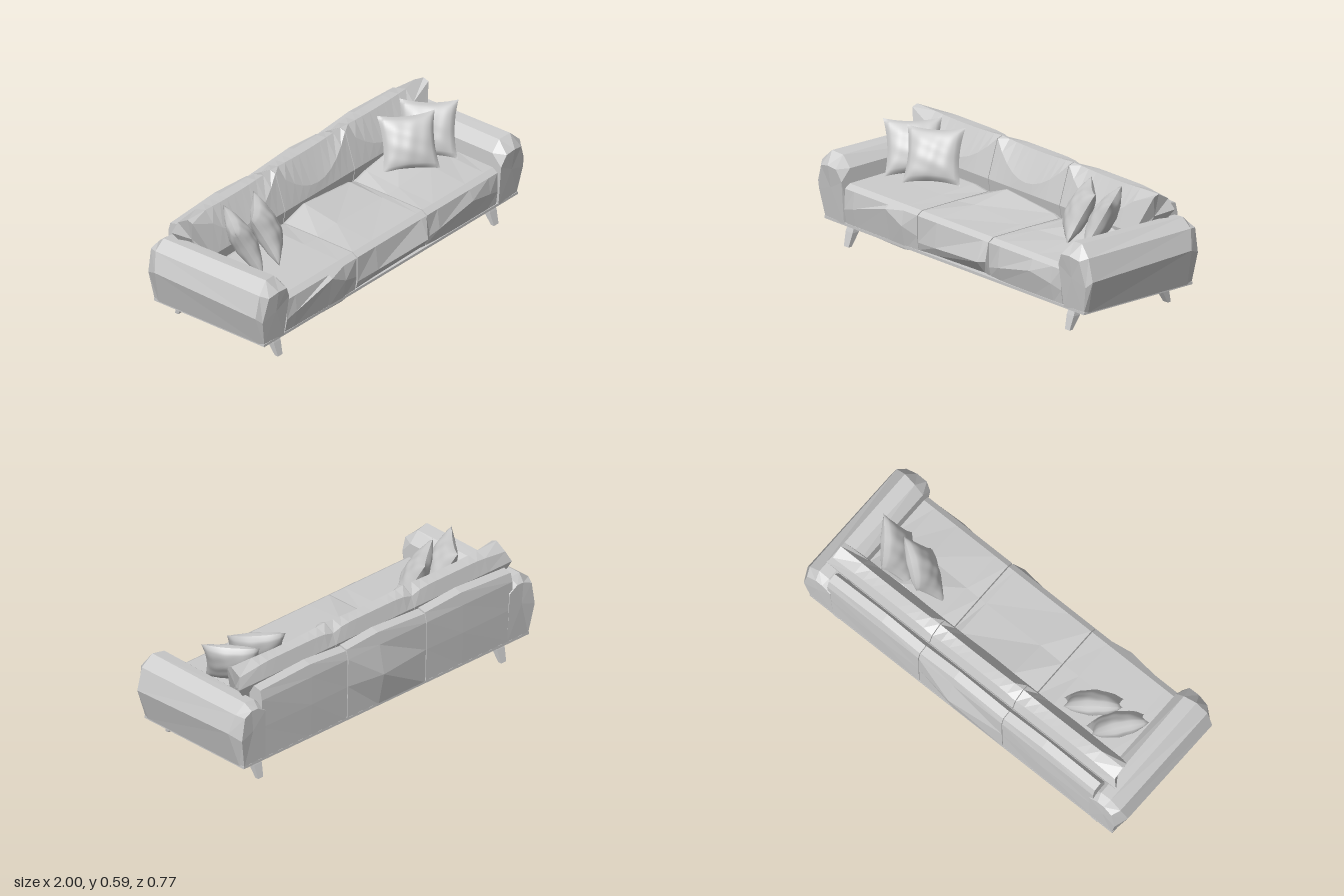
import * as THREE from 'three';
import { mergeGeometries } from 'three/addons/utils/BufferGeometryUtils.js';

const faceted = new THREE.MeshStandardMaterial({ color: 0xcccccc, flatShading: true });
const smooth = new THREE.MeshStandardMaterial({ color: 0xcccccc });

// Closed solid through rings of [x, y, z] points, capped at both ends
function loft(rings) {
  const n = rings[0].length;
  const points = rings.flat().map(p => new THREE.Vector3(...p));
  const tris = [];
  for (let r = 0; r < rings.length - 1; r++) {
    for (let i = 0; i < n; i++) {
      const a = r * n + i, b = r * n + (i + 1) % n;
      tris.push([a, b, b + n], [a, b + n, a + n]);
    }
  }
  const last = (rings.length - 1) * n;
  [0, last].forEach(start => {
    const c = new THREE.Vector3();
    for (let i = 0; i < n; i++) c.addScaledVector(points[start + i], 1 / n);
    const k = points.push(c) - 1;
    for (let i = 0; i < n; i++) {
      const a = start + i, b = start + (i + 1) % n;
      tris.push(start === 0 ? [k, b, a] : [k, a, b]);
    }
  });
  // Turn the faces outward whichever way the rings run
  let volume = 0;
  const cross = new THREE.Vector3();
  for (const [a, b, c] of tris) volume += points[a].dot(cross.crossVectors(points[b], points[c]));
  const index = tris.flatMap(([a, b, c]) => (volume < 0 ? [a, c, b] : [a, b, c]));
  const g = new THREE.BufferGeometry().setFromPoints(points);
  g.setIndex(index);
  const flat = g.toNonIndexed();
  flat.computeVertexNormals();
  return flat;
}

function add(parent, name, geometry, material = faceted) {
  const mesh = new THREE.Mesh(geometry, material);
  mesh.name = name;
  parent.add(mesh);
  return mesh;
}

// Faceted, outward-leaning armrest
function arm(side) {
  const rings = [
    [[.94, .12, .335], [.97, .26, .35], [.94, .39, .365], [.88, .405, .375], [.82, .40, .375], [.79, .34, .365], [.80, .12, .34]],
    [[.945, .12, .31], [1, .29, .33], [.97, .405, .33], [.91, .463, .32], [.84, .455, .31], [.79, .40, .31], [.79, .12, .31]],
    [[.945, .12, -.32], [1, .31, -.30], [.97, .41, -.32], [.91, .455, -.32], [.85, .45, -.32], [.79, .40, -.32], [.79, .12, -.32]],
    [[.94, .12, -.35], [.97, .28, -.365], [.95, .40, -.365], [.90, .42, -.36], [.86, .42, -.36], [.81, .39, -.36], [.80, .12, -.35]],
  ];
  return loft(rings.map(r => r.map(([x, y, z]) => [x * side, y, z])));
}

// Upright back panel with a pyramid-like bulge at its middle
function backPanel(x0, x1, bulge, xm) {
  const section = (x, b, h) => [[-.35, .12], [-.355 - b, .30], [-.357, .45], [-.345, h - .01],
    [-.30, h], [-.27, .46], [-.27, .12]].map(([z, y]) => [x, y, z]);
  return loft([section(x0, 0, .505), section(xm, bulge, .525), section(x1, 0, .51)]);
}

// Seat cushion; each row is x, front bulge z, bulge height, bottom height, rear height
function seatCushion(rows) {
  return loft(rows.map(([x, fz, fy, by, ty]) => [[-.2, .125], [.335, by], [fz, fy], [.345, .305],
    [.315, .325], [.1, .328 + (ty - .33) * .3], [-.1, ty], [-.2, ty - .03]].map(([z, y]) => [x, y, z])));
}

// Back cushion with a sagging front seam; its outer end spills over the arm
function backCushion(x0, x1) {
  const rings = [];
  for (let i = 0; i <= 10; i++) {
    const u = i / 5 - 1, x = x0 + (x1 - x0) * i / 10, s = u * u, e = s * s * s;
    rings.push([[-.12, .31], [-.105, .39], [-.115 - .05 * s, .435 + .145 * s], [-.195, .58 + .01 * s],
      [-.255, .575 - .02 * e], [-.275, .50], [-.24, .36]].map(([z, y]) => {
      const outer = Math.abs(x) > .78;
      return [outer && y > .43 ? Math.sign(x) * (y < .52 ? .905 : .88) : x, y, z];
    }));
  }
  return loft(rings);
}

// Square throw pillow with pinched corners and soft folds
function pillowGeometry() {
  const h = .142, half = side => {
    const g = new THREE.PlaneGeometry(2, 2, 22, 22);
    const p = g.attributes.position;
    for (let i = 0; i < p.count; i++) {
      const u = p.getX(i), v = p.getY(i);
      const body = Math.sqrt(Math.max(0, (1 - u * u) * (1 - v * v)));
      const fold = 1 + .06 * Math.sin(7 * u + 4 * v) * Math.sin(6 * v - 3 * u);
      p.setXYZ(i, u * h * (.88 + .12 * v * v), v * h * (.88 + .12 * u * u), side * .058 * body * fold);
    }
    if (side < 0) g.setIndex(Array.from(g.index.array).reverse());
    g.computeVertexNormals();
    return g;
  };
  return mergeGeometries([half(1), half(-1)]);
}

// Tapered leg splayed toward the given end
function leg(x, end) {
  const ring = (y, zIn, zOut, w) => [[x - w, y, end * zIn], [x + w, y, end * zIn],
    [x + w, y, end * zOut], [x - w, y, end * zOut]];
  return loft([ring(0, .302, .322, .017), ring(.07, .262, .303, .025), ring(.1, .255, .292, .023)]);
}

export function createModel() {
  const sofa = new THREE.Group();
  sofa.name = 'sofa';

  // Base and hidden frame
  add(sofa, 'basePlate', new THREE.BoxGeometry(1.89, .014, .69)).position.set(0, .121, -.006);
  add(sofa, 'seatFrame', new THREE.BoxGeometry(1.58, .17, .58)).position.set(0, .21, 0);

  // Arms
  add(sofa, 'leftArm', arm(1));
  add(sofa, 'rightArm', arm(-1));

  // Back panels and back cushions
  [[-.83, -.262, .004, -.5], [-.258, .258, .033, .05], [.262, .83, .004, .5]].forEach(([a, b, d, m]) =>
    add(sofa, 'backPanel', backPanel(a, b, d, m)));
  [[-.8, -.262], [-.258, .258], [.262, .8]].forEach(([a, b]) =>
    add(sofa, 'backCushion', backCushion(a, b)));

  // Seat cushions
  add(sofa, 'rightSeatCushion', seatCushion([[-.787, .35, .2, .125, .33], [-.72, .355, .22, .118, .335],
    [-.47, .367, .29, .108, .34], [-.36, .36, .23, .105, .34], [-.263, .345, .2, .125, .325]]));
  add(sofa, 'middleSeatCushion', seatCushion([[-.257, .345, .17, .13, .325], [-.12, .358, .18, .135, .375],
    [.22, .386, .205, .14, .34], [.257, .365, .21, .135, .325]]));
  add(sofa, 'leftSeatCushion', seatCushion([[.263, .345, .18, .135, .325], [.34, .358, .2, .13, .35],
    [.58, .366, .25, .125, .395], [.72, .355, .22, .125, .36], [.787, .345, .2, .125, .33]]));

  // Throw pillows, a pair at each end
  const pillow = pillowGeometry();
  for (const side of [1, -1]) {
    [[.53, .005, 38], [.69, -.005, 52]].forEach(([x, z, yaw]) => {
      const mesh = add(sofa, 'throwPillow', pillow, smooth);
      mesh.position.set(side * x, .463, z);
      mesh.rotation.set(-.5, -side * THREE.MathUtils.degToRad(yaw), 0, 'YXZ');
    });
  }

  // Leg frames: splayed legs, a rail and two pegs up to the base
  for (const x of [.805, -.805]) {
    const frame = new THREE.Group();
    frame.name = 'legFrame';
    sofa.add(frame);
    add(frame, 'rail', new THREE.BoxGeometry(.03, .028, .54)).position.set(x, .085, 0);
    for (const end of [1, -1]) {
      add(frame, 'leg', leg(x, end));
      add(frame, 'peg', new THREE.CylinderGeometry(.021, .021, .02, 16), smooth).position.set(x, .107, end * .225);
    }
  }
  return sofa;
}
